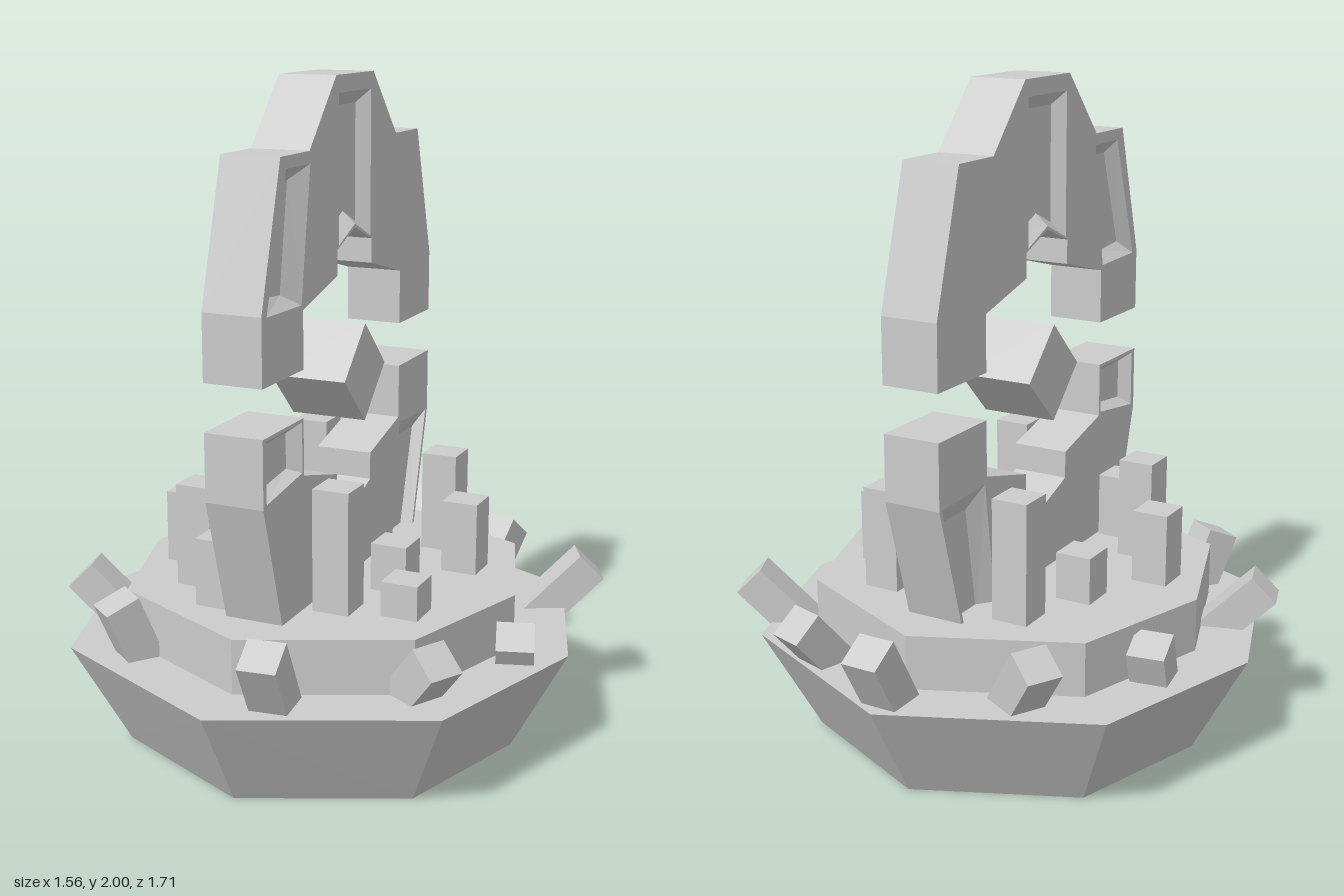
import * as THREE from 'three';
import { ConvexGeometry } from 'three/addons/geometries/ConvexGeometry.js';

const MID_Z = 0.02;
const HALF = 0.09; // half thickness of the ring
const DEPTH = 0.04; // depth of the ring's recessed panels
const material = new THREE.MeshStandardMaterial({ color: 0xcccccc, flatShading: true });

function add(parent, name, geometry) {
  const mesh = new THREE.Mesh(geometry, material);
  mesh.name = name;
  parent.add(mesh);
  return mesh;
}

// Eight-sided outline: side point, corner point, front point
function octagon(y, side, cornerX, cornerZ, front) {
  return [[side, 0], [cornerX, cornerZ], [0, front], [-cornerX, cornerZ],
    [-side, 0], [-cornerX, -cornerZ], [0, -front], [cornerX, -cornerZ]]
    .map(([x, z]) => new THREE.Vector3(x, y, z + MID_Z));
}

// Profile points are [toward front, up]; the ring is drawn flat, then turned to face +x
const flat = (points) => points.map(([f, y]) => new THREE.Vector2(-f, y));
const mirrored = (half) => [...half, ...half.filter(([f]) => f > 0).reverse().map(([f, y]) => [-f, y])];

// Sloped rim and floor of a recessed panel
function recessGeometry(outer, inner) {
  const n = outer.length;
  const position = [];
  flat(outer).forEach((p) => position.push(p.x, p.y, HALF));
  flat(inner).forEach((p) => position.push(p.x, p.y, HALF - DEPTH));
  const index = [];
  for (let i = 0; i < n; i++) {
    const j = (i + 1) % n;
    index.push(i, j, n + j, i, n + j, n + i);
    if (i > 0 && i < n - 1) index.push(n, n + i, n + i + 1);
  }
  const g = new THREE.BufferGeometry();
  g.setAttribute('position', new THREE.Float32BufferAttribute(position, 3));
  g.setIndex(index);
  g.computeVertexNormals();
  return g;
}

// Half of the ring with panels sunk into both faces
function ringPart(parent, name, half, panels) {
  const group = new THREE.Group();
  group.name = name;
  group.position.set(-0.005, 0, MID_Z);
  group.rotation.y = Math.PI / 2;
  const shape = new THREE.Shape(flat(mirrored(half)));
  panels.forEach(({ outer }) => shape.holes.push(new THREE.Path(flat(outer))));
  const body = new THREE.ExtrudeGeometry(shape, { depth: HALF * 2, bevelEnabled: false });
  add(group, name + 'Body', body.translate(0, 0, -HALF));
  for (const { outer, inner } of panels) {
    for (const side of [1, -1]) {
      add(group, name + 'Recess', recessGeometry(outer, inner)).scale.z = side;
    }
  }
  parent.add(group);
}

export function createModel() {
  const model = new THREE.Group();
  model.name = 'crystalRingShrine';

  // Flared base and raised platform
  add(model, 'base', new ConvexGeometry([
    ...octagon(0, 0.61, 0.465, 0.44, 0.65), ...octagon(0.32, 0.78, 0.595, 0.56, 0.83)]));
  add(model, 'platform', new ConvexGeometry([
    ...octagon(0.3, 0.61, 0.465, 0.44, 0.65), ...octagon(0.485, 0.61, 0.465, 0.44, 0.65)]));

  // Broken ring: upper arch and lower cradle
  ringPart(model, 'upperArch',
    [[0, 1.555], [0.125, 1.505], [0.125, 1.43], [0.355, 1.37], [0.355, 1.2], [0.61, 1.2],
      [0.61, 1.395], [0.49, 1.805], [0.31, 1.805], [0.1325, 2]],
    [{
      outer: [[0.455, 1.77], [0.58, 1.39], [0.365, 1.385], [0.305, 1.77]],
      inner: [[0.44, 1.73], [0.54, 1.43], [0.42, 1.42], [0.37, 1.73]],
    }, {
      outer: [[0, 1.565], [-0.115, 1.515], [-0.115, 1.95], [0.115, 1.95], [0.115, 1.515]],
      inner: [[0, 1.6], [-0.09, 1.56], [-0.09, 1.91], [0.09, 1.91], [0.09, 1.56]],
    }]);
  ringPart(model, 'lowerCradle',
    [[0, 0.7], [0.125, 0.745], [0.125, 0.83], [0.355, 0.89], [0.355, 1.06], [0.61, 1.06],
      [0.61, 0.86], [0.5, 0.48], [0.48, 0.4]],
    [{
      outer: [[0.59, 1.05], [0.59, 0.87], [0.365, 0.9], [0.365, 1.05]],
      inner: [[0.57, 1.02], [0.57, 0.895], [0.39, 0.915], [0.39, 1.02]],
    }, {
      outer: [[-0.365, 0.87], [-0.31, 0.47], [-0.485, 0.47], [-0.595, 0.86]],
      inner: [[-0.41, 0.8], [-0.355, 0.45], [-0.47, 0.45], [-0.575, 0.8]],
    }]);

  // Floating block turned on its edge
  const core = add(model, 'floatingCore', new THREE.BoxGeometry(0.24, 0.212, 0.212));
  core.position.set(0, 1.12, MID_Z);
  core.rotation.x = Math.PI / 4;

  // Upright pillars on the platform: x, z, top
  const pillars = [
    [-0.21, -0.35, 0.855], [-0.295, -0.12, 0.63], [-0.43, 0.12, 0.71], [-0.295, 0.295, 0.8],
    [-0.16, 0.425, 0.69], [0.255, -0.32, 0.8], [0.39, -0.145, 0.71], [0.255, 0.095, 0.63],
    [0.17, 0.325, 0.855], [0.365, 0.28, 0.59],
  ];
  for (const [x, z, top] of pillars) {
    add(model, 'pillar', new THREE.BoxGeometry(0.113, top - 0.45, 0.113))
      .position.set(x, (top + 0.45) / 2, z);
  }

  // Leaning blocks on the ledge: top centre x, y, z, lean direction x, z, tilt in degrees
  const leaning = [
    [0.005, 0.505, -0.81, 0, -1, 30], [0.35, 0.46, -0.68, 0.28, -0.96, 40],
    [-0.41, 0.48, -0.6, -0.87, -0.48, 35], [0.71, 0.455, -0.43, 0.9, -0.43, 45],
    [0.65, 0.4, 0.13, 0.3, 0.95, 30], [0.55, 0.455, 0.505, 0.87, 0.48, 40],
    [0.15, 0.505, 0.78, 0.12, 0.99, 30], [-0.43, 0.495, 0.58, -0.6, 0.8, 22],
    [-0.72, 0.455, 0.3, -0.96, 0.28, 45], [-0.585, 0.44, -0.25, -0.15, -0.98, 22],
  ];
  for (const [x, y, z, dx, dz, tilt] of leaning) {
    const length = 0.25;
    const block = add(model, 'leaningBlock',
      new THREE.BoxGeometry(0.112, length, 0.108).translate(0, -length / 2, 0));
    block.position.set(x, y, z);
    block.rotation.set(THREE.MathUtils.degToRad(tilt), Math.atan2(dx, dz), 0, 'YXZ');
  }
  return model;
}
